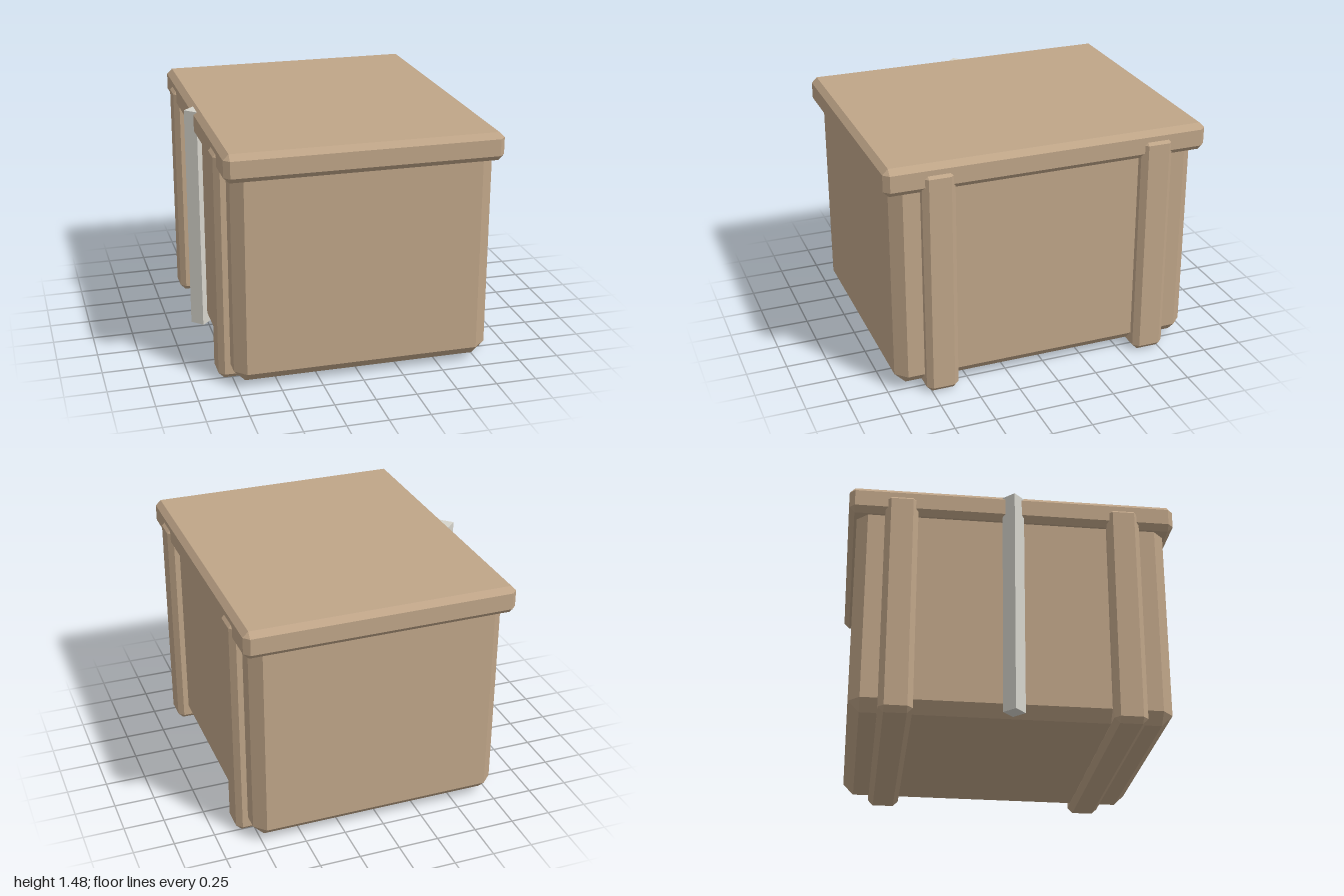
import * as THREE from 'three';
import { ConvexGeometry } from 'three/addons/geometries/ConvexGeometry.js';

// Box between two corners with every edge and corner bevelled by c
function chamferedBox(min, max, c) {
  const points = [];
  for (const ix of [0, 1]) for (const iy of [0, 1]) for (const iz of [0, 1]) {
    const corner = [ix, iy, iz].map((side, a) => (side ? max[a] : min[a]));
    const inset = [ix, iy, iz].map((side, a) => corner[a] + (side ? -c : c));
    for (let a = 0; a < 3; a++) {
      const p = [...inset];
      p[a] = corner[a];
      points.push(new THREE.Vector3(...p));
    }
  }
  return new ConvexGeometry(points);
}

export function createModel() {
  const group = new THREE.Group();
  const wood = new THREE.MeshStandardMaterial({ name: 'wood', color: 0xbfa588, flatShading: true });
  const metal = new THREE.MeshStandardMaterial({ name: 'paleMetal', color: 0xd6d4cc, flatShading: true });

  const add = (name, geometry, material) => {
    const mesh = new THREE.Mesh(geometry, material);
    mesh.name = name;
    group.add(mesh);
    return mesh;
  };

  // Crate body and overhanging lid
  add('body', chamferedBox([-0.765, 0.035, -0.95], [0.795, 1.42, 0.95], 0.067), wood);
  add('lid', chamferedBox([-0.815, 1.305, -1], [0.845, 1.475, 1], 0.034), wood);

  // Two bands wrapping the sides and the underside
  for (const [name, z] of [['frontBand', 0.68], ['backBand', -0.68]]) {
    add(name, chamferedBox([-0.832, 0, z - 0.1], [0.862, 1.425, z + 0.1], 0.033), wood);
  }

  // Square rod set edge-on along the right side
  const rod = add('sideRod', new THREE.CylinderGeometry(0.066, 0.066, 1.425, 4), metal);
  rod.position.set(-0.799, 0.7475, 0);

  return group;
}
